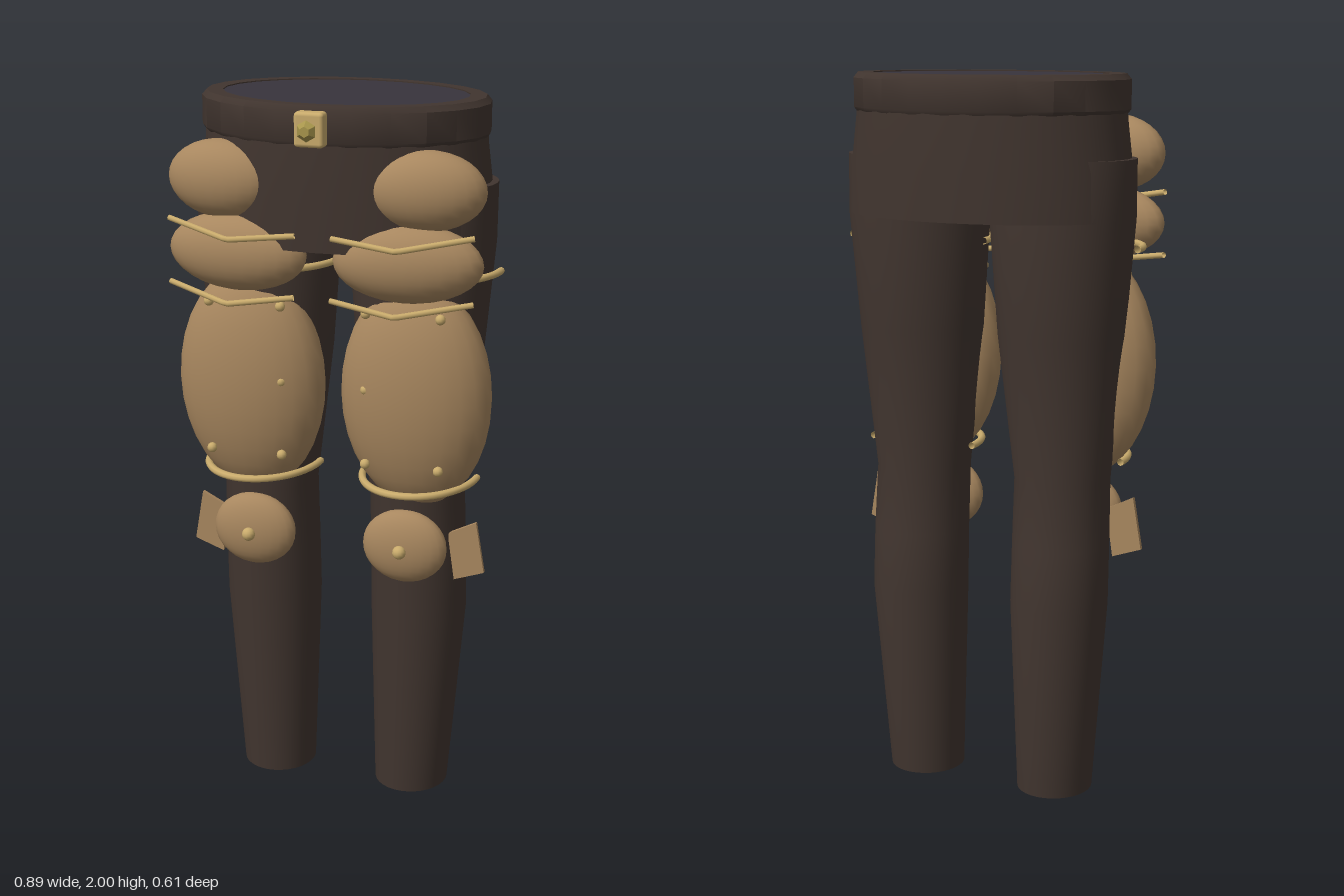
import * as THREE from 'three';
import { toCreasedNormals } from 'three/addons/utils/BufferGeometryUtils.js';
import { RoundedBoxGeometry } from 'three/addons/geometries/RoundedBoxGeometry.js';

const mat = (color, side = THREE.FrontSide) => new THREE.MeshStandardMaterial({ color, side });
const cloth = mat(0x41352f);
const lining = mat(0x38343c);
const leather = mat(0xa8875f);
const gold = mat(0xc9ab6c, THREE.DoubleSide);
const brass = mat(0xa8964c);

function add(parent, name, geometry, material, x = 0, y = 0, z = 0) {
  const mesh = new THREE.Mesh(geometry, material);
  mesh.name = name;
  mesh.position.set(x, y, z);
  parent.add(mesh);
  return mesh;
}

// Closed tube through elliptical sections [y, centreX, centreZ, radiusX, radiusZ], top first
function loft(sections, sides = 32) {
  const geo = new THREE.CylinderGeometry(1, 1, 1, sides, sections.length - 1);
  const p = geo.attributes.position;
  for (let i = 0; i < p.count; i++) {
    const row = Math.round((0.5 - p.getY(i)) * (sections.length - 1));
    const [y, cx, cz, rx, rz] = sections[row];
    p.setXYZ(i, cx + p.getX(i) * rx, y, cz + p.getZ(i) * rz);
  }
  return toCreasedNormals(geo, 0.8);
}

const ellipsoid = (rx, ry, rz) => new THREE.SphereGeometry(1, 24, 16).scale(rx, ry, rz);

// Thin rod bent at the given points
function bentRod(points) {
  const path = new THREE.CurvePath();
  const v = points.map((p) => new THREE.Vector3(...p));
  for (let i = 1; i < v.length; i++) path.add(new THREE.LineCurve3(v[i - 1], v[i]));
  return new THREE.TubeGeometry(path, 24, 0.008, 8);
}

// Strap running round the front half of the thigh
const halfStrap = (rx, rz) =>
  new THREE.TorusGeometry(1, 0.01 / rx, 8, 28, Math.PI).scale(rx, rz, rx).rotateX(Math.PI / 2);

// One leg with its armour; s is +1 for the left side, -1 for the right
function createSide(s) {
  const side = new THREE.Group();
  side.name = s > 0 ? 'leftLeg' : 'rightLeg';

  // Trouser leg
  add(side, 'trouserLeg', loft([
    [1.78, s * 0.22, -0.03, 0.2, 0.175],
    [1.62, s * 0.218, -0.03, 0.2, 0.185],
    [1.3, s * 0.215, -0.027, 0.175, 0.165],
    [0.9, s * 0.217, -0.017, 0.133, 0.133],
    [0.72, s * 0.219, -0.03, 0.135, 0.137],
    [0.55, s * 0.219, -0.038, 0.135, 0.143],
    [0, s * 0.205, -0.03, 0.105, 0.112],
  ]), cloth);

  // Overlapping hip pads
  add(side, 'upperHipPad', ellipsoid(0.158, 0.105, 0.08), leather, s * 0.28, 1.785, 0.16)
    .rotation.y = s * 0.12;
  add(side, 'lowerHipPad', ellipsoid(0.2, 0.105, 0.08), leather, s * 0.236, 1.595, 0.173)
    .rotation.y = s * 0.1;

  // Bent trim rods across the pads
  add(side, 'upperTrim', bentRod([
    [s * 0.05, 1.662, 0.245], [s * 0.23, 1.645, 0.268], [s * 0.42, 1.678, 0.2]]), gold);
  add(side, 'lowerTrim', bentRod([
    [s * 0.05, 1.5, 0.255], [s * 0.23, 1.475, 0.278], [s * 0.42, 1.505, 0.2]]), gold);

  // Thigh guard, straps and rivets
  add(side, 'thighGuard', ellipsoid(0.21, 0.32, 0.122), leather, s * 0.236, 1.212, 0.077)
    .rotation.x = 0.04;
  add(side, 'upperStrap', halfStrap(0.208, 0.2), gold, s * 0.228, 1.545, -0.03);
  add(side, 'lowerStrap', halfStrap(0.16, 0.21), gold, s * 0.228, 0.96, -0.012);
  for (const y of [1.03, 1.24, 1.45]) {
    for (const x of [0.12, 0.325]) {
      add(side, 'rivet', new THREE.SphereGeometry(0.014, 10, 8), gold, s * x, y, 0.168);
    }
  }

  // Knee cap and its flat side flap
  add(side, 'kneeCap', ellipsoid(0.12, 0.105, 0.052), leather, s * 0.22, 0.785, 0.117);
  add(side, 'kneeRivet', new THREE.SphereGeometry(0.019, 12, 8), gold, s * 0.22, 0.785, 0.172);
  const flap = new THREE.Shape([[0.405, 0.85], [0.43, 0.705], [0.345, 0.675], [0.325, 0.81]]
    .map(([x, y]) => new THREE.Vector2(s * x, y)));
  add(side, 'kneeFlap',
    new THREE.ExtrudeGeometry(flap, { depth: 0.012, bevelEnabled: false }), leather, 0, 0, 0.041);
  return side;
}

export function createModel() {
  const model = new THREE.Group();
  model.name = 'armouredTrousers';

  // Hips
  add(model, 'hips', loft([
    [1.93, 0, -0.03, 0.385, 0.27],
    [1.88, 0, -0.03, 0.388, 0.272],
    [1.75, 0, -0.03, 0.405, 0.272],
    [1.62, 0, -0.03, 0.412, 0.27],
  ], 40), cloth);

  // Waistband with a bevelled rim, and the lining closing the waist
  const rim = [[0.37, 1.897], [0.388, 1.897], [0.396, 1.907], [0.396, 1.985], [0.383, 2], [0.338, 2], [0.338, 1.98]]
    .map(([r, y]) => new THREE.Vector2(r, y));
  add(model, 'waistband',
    toCreasedNormals(new THREE.LatheGeometry(rim, 24).scale(1, 1, 0.7), 0.6), cloth, 0, 0, -0.03);
  add(model, 'waistLining',
    new THREE.CylinderGeometry(0.34, 0.34, 0.02, 24).scale(1, 1, 0.7), lining, 0, 1.987, -0.03);

  // Buckle with a hexagonal stud
  add(model, 'bucklePlate', new RoundedBoxGeometry(0.08, 0.09, 0.045, 2, 0.01), gold, 0, 1.943, 0.255);
  add(model, 'buckleStud', toCreasedNormals(
    new THREE.CylinderGeometry(0.014, 0.028, 0.016, 6).rotateX(Math.PI / 2), 0.3), brass, 0, 1.943, 0.298);
  add(model, 'buckleNeck',
    new THREE.CylinderGeometry(0.018, 0.018, 0.03, 12).rotateX(Math.PI / 2), brass, 0, 1.943, 0.28);

  for (const s of [1, -1]) model.add(createSide(s));
  return model;
}
